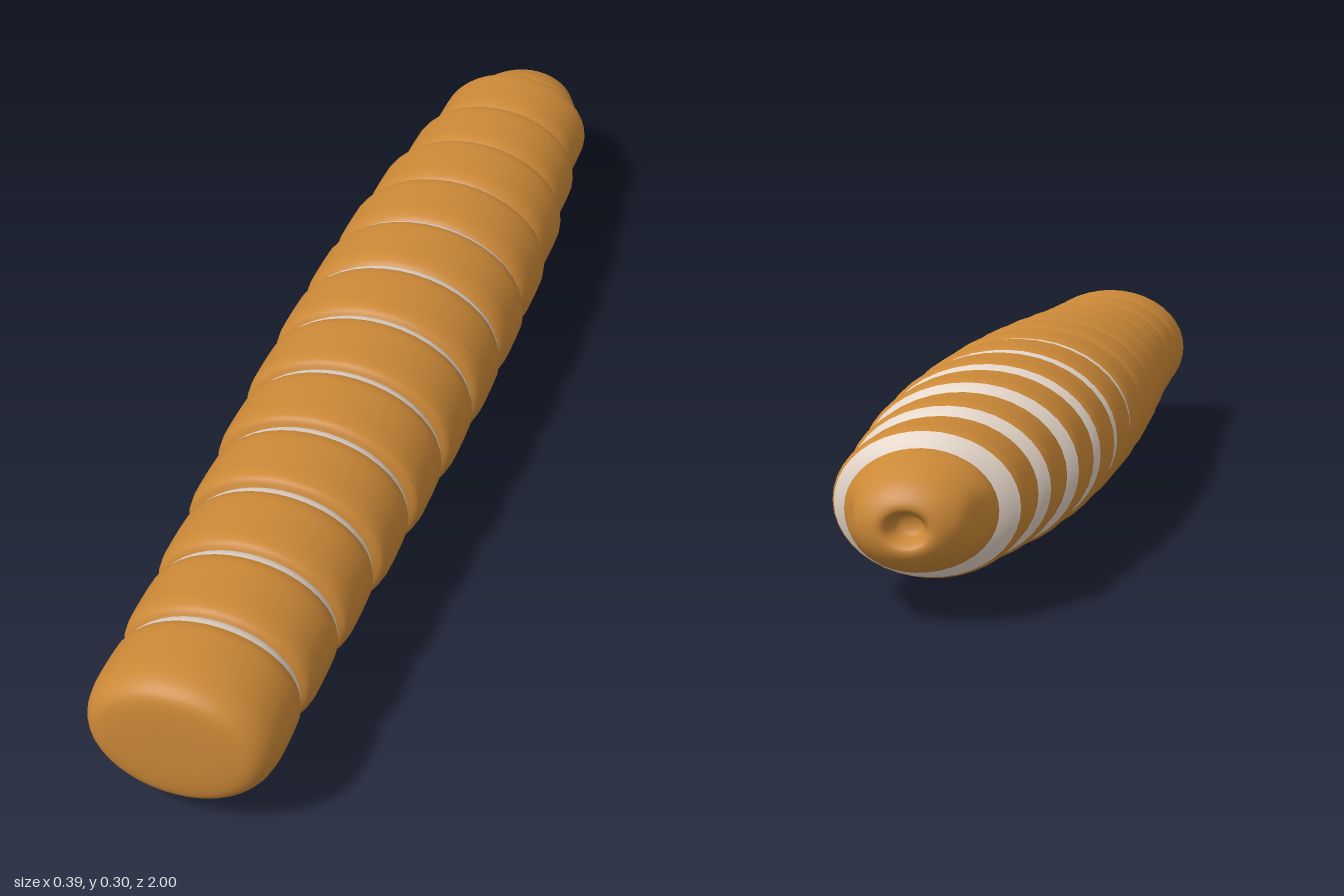
import * as THREE from 'three';
import { mergeVertices } from 'three/addons/utils/BufferGeometryUtils.js';

const SIDES = 40;
const FLATTEN = 0.777; // height of a cross-section relative to its width
const AXIS_Y = 0.15;

// Turns a profile of [radius, z] points (rising z) about the body axis.
function ringGeometry(profile, samples) {
  const points = profile.map(([r, z]) => new THREE.Vector2(r, z));
  const smooth = new THREE.SplineCurve(points).getPoints(samples);
  smooth.forEach((p) => { p.x = Math.max(0, p.x); });
  const geometry = new THREE.LatheGeometry(smooth, SIDES);
  geometry.rotateX(Math.PI / 2);
  geometry.scale(1, FLATTEN, 1);
  return geometry;
}

export function createModel() {
  const skin = new THREE.MeshStandardMaterial({ color: 0xcb8837 });
  skin.name = 'amberSkin';
  const pale = new THREE.MeshStandardMaterial({ color: 0xe2d3c6 });
  pale.name = 'paleBand';

  const group = new THREE.Group();
  group.name = 'segmentedLarva';
  const add = (name, geometry, material) => {
    const mesh = new THREE.Mesh(geometry, material);
    mesh.name = name;
    mesh.position.y = AXIS_Y;
    group.add(mesh);
  };

  // Body rings, from the blunt front end towards the tapered head
  const radii = [0.153, 0.158, 0.164, 0.173, 0.182, 0.189, 0.193, 0.193, 0.189, 0.179, 0.162, 0.145];
  const headRadius = 0.113;
  const backZ = (i) => 0.822 - 0.1545 * i;
  const notch = (a, b) => Math.min(a, b) - 0.015;

  radii.forEach((r, i) => {
    const z0 = backZ(i);
    const inner = i === radii.length - 1 ? headRadius - 0.006 : notch(r, radii[i + 1]);
    const shoulder = [r - 0.007, z0 + 0.018];

    // pale strip on the rear slope of the ring
    add('paleBand' + (i + 1), ringGeometry([[inner, z0], [(inner + shoulder[0]) / 2 + 0.001, z0 + 0.008], shoulder], 6), pale);

    const body = [shoulder, [r - 0.002, z0 + 0.03], [r, z0 + 0.05]];
    if (i === 0) {
      // blunt closed end
      body.push([r, 0.93], [r - 0.006, 0.965], [r - 0.022, 0.988], [r - 0.05, 0.997], [0.05, 1], [0, 1]);
    } else {
      const z1 = backZ(i - 1);
      body.push([r, z1 - 0.045], [r - 0.002, z1 - 0.022], [r - 0.008, z1 - 0.007], [notch(r, radii[i - 1]), z1]);
    }
    add('bodySegment' + (i + 1), ringGeometry(body, 24), skin);
  });

  // Head with a sunken mouth and a soft dent in each cheek
  const head = ringGeometry([
    [0, -0.965], [0.018, -0.969], [0.025, -0.985], [0.035, -0.998], [0.052, -0.997],
    [0.075, -0.982], [0.094, -0.955], [0.108, -0.92], [headRadius, -0.895], [headRadius - 0.006, -0.878],
  ], 36);
  const pos = head.attributes.position;
  for (let i = 0; i < pos.count; i++) {
    const x = pos.getX(i), y = pos.getY(i), z = pos.getZ(i);
    const dent = Math.exp(-((y / 0.03) ** 2) - ((z + 0.945) / 0.025) ** 2);
    pos.setX(i, x * (1 - 0.1 * dent));
    pos.setY(i, y - 0.1 * Math.max(0, -0.89 - z));
  }
  head.deleteAttribute('uv');
  head.deleteAttribute('normal');
  const smoothHead = mergeVertices(head, 1e-5);
  smoothHead.computeVertexNormals();
  add('head', smoothHead, skin);

  return group;
}
